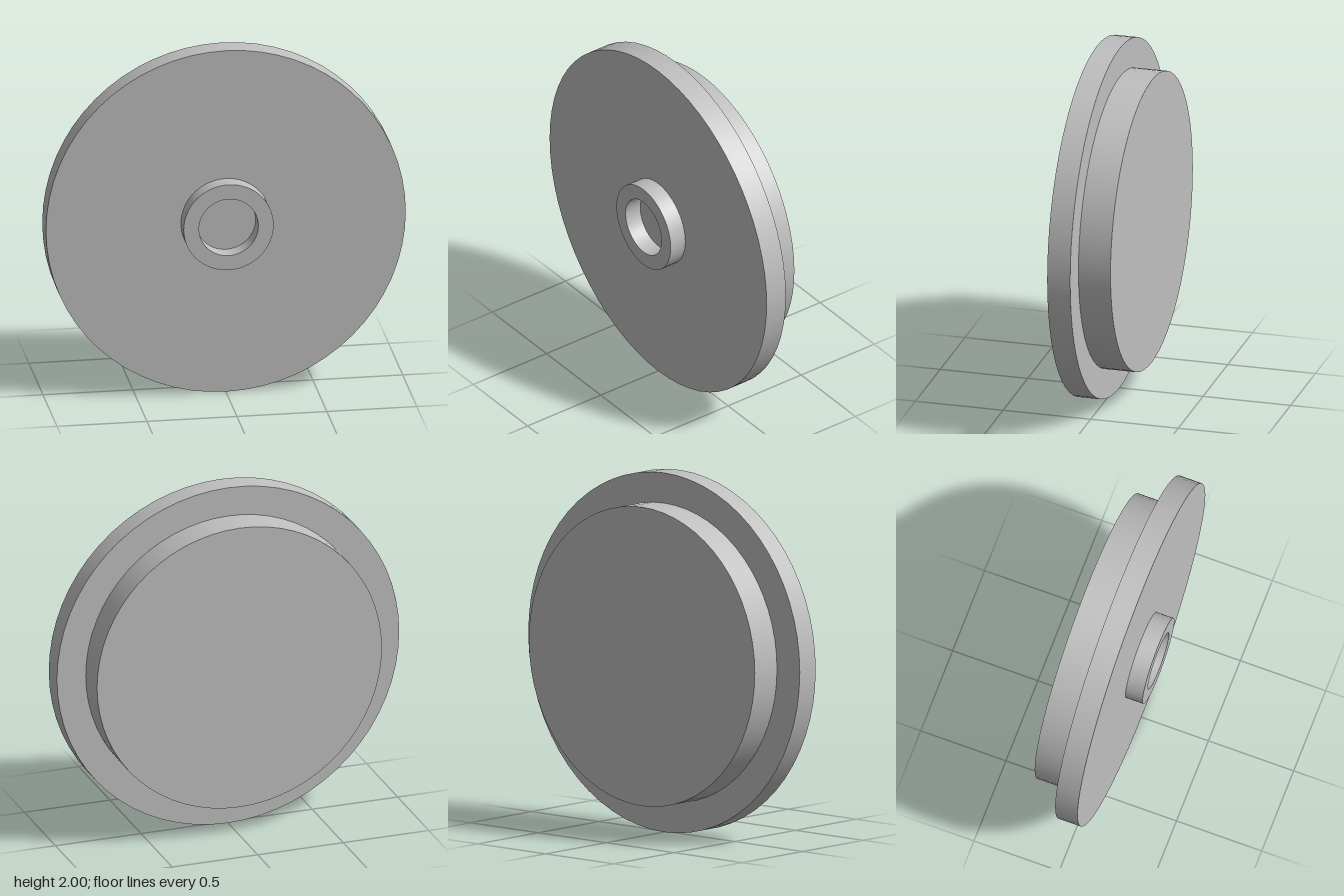
import * as THREE from 'three';
import { toCreasedNormals } from 'three/addons/utils/BufferGeometryUtils.js';

const SEGMENTS = 64;

export function createModel() {
  const group = new THREE.Group();
  group.name = 'flangedCap';
  const grey = new THREE.MeshStandardMaterial({ color: 0xbfbfbf });
  grey.name = 'plain grey';

  // Turn a y-axis part to face +z, centred at height 1
  const add = (name, geometry, z) => {
    geometry.rotateX(Math.PI / 2);
    const mesh = new THREE.Mesh(geometry, grey);
    mesh.name = name;
    mesh.position.set(0, 1, z);
    group.add(mesh);
  };
  const disc = (name, radius, back, front) =>
    add(name, new THREE.CylinderGeometry(radius, radius, front - back, SEGMENTS), (front + back) / 2);

  // Wide flange and the narrower plug behind it
  disc('flange', 1, -0.024, 0.107);
  disc('plug', 0.832, -0.207, -0.024);

  // Hollow round collar on the front; the flange face is its floor
  const profile = [[0.25, 0], [0.25, 0.1], [0.165, 0.1], [0.165, 0]]
    .map(([r, y]) => new THREE.Vector2(r, y));
  add('collar', toCreasedNormals(new THREE.LatheGeometry(profile, SEGMENTS), 0.6), 0.107);

  return group;
}
